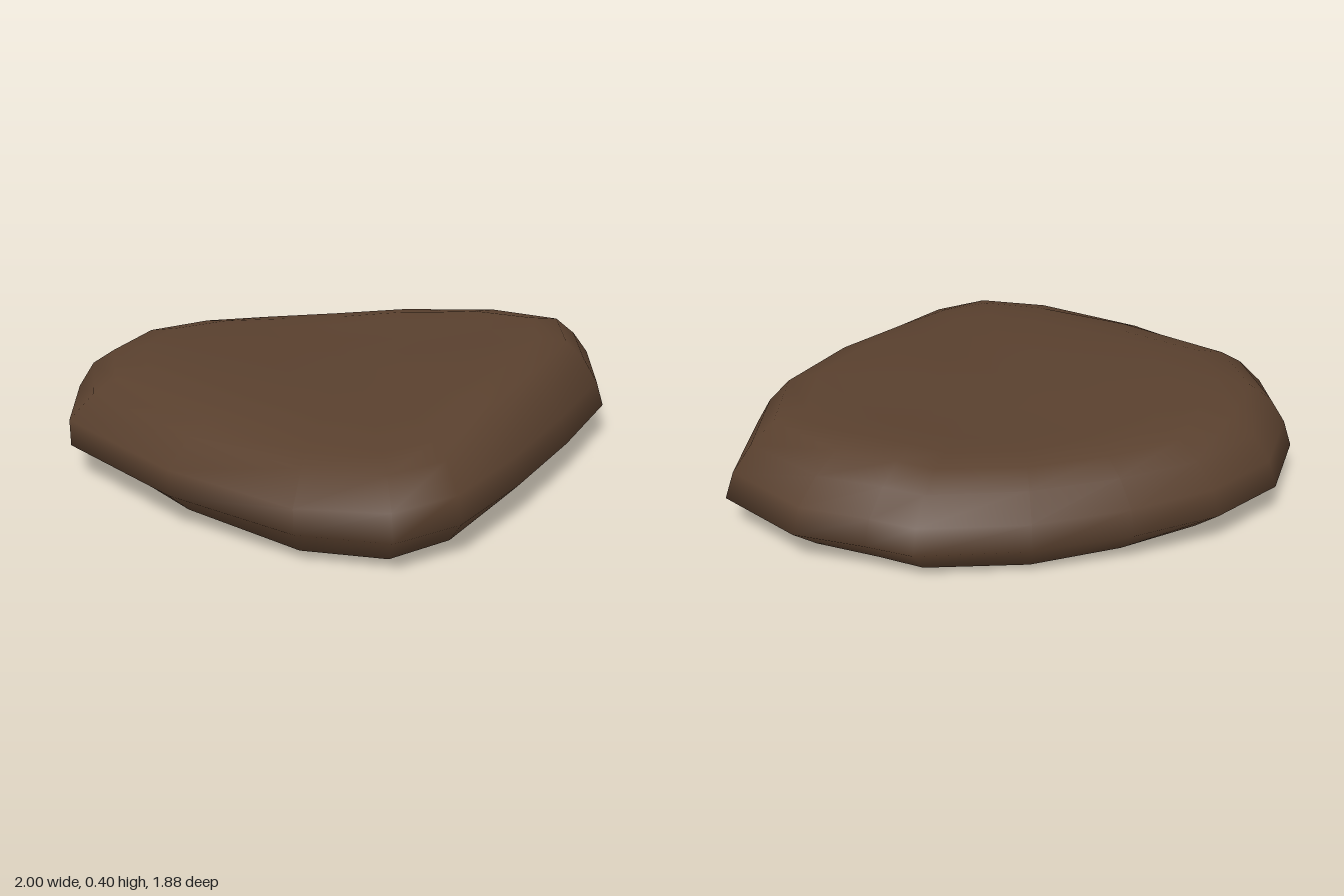
import * as THREE from 'three';

// Plan outline [x, z], running from the -x side round the back
const OUTLINE = [
  [-1, -0.45], [-0.8, -0.77], [-0.5, -0.94], [-0.19, -0.945], [0.12, -0.85], [0.44, -0.7],
  [0.75, -0.47], [0.83, -0.32], [0.965, -0.1], [1, 0.26], [0.72, 0.54], [0.31, 0.71],
  [-0.1, 0.85], [-0.46, 0.94], [-0.71, 0.9], [-0.89, 0.65], [-1, 0.15],
];

// Cross-section from underside to top:
// [scale of outline, height, warp in height, warp in scale]
const PROFILE = [
  [0.45, 0.024, 0.01, 0], [0.8, 0.022, 0.022, 0], [0.905, 0.045, 0.02, -0.01],
  [1, 0.12, 0, 0], [0.97, 0.21, 0.005, 0], [0.895, 0.295, 0.012, 0.02],
  [0.81, 0.344, 0.025, 0.03], [0.7, 0.362, 0.03, 0.03], [0.55, 0.36, 0.024, 0], [0.3, 0.35, 0.008, 0],
];
const CENTRE_X = -0.08;

function stoneGeometry() {
  const n = OUTLINE.length;
  const positions = [];
  const index = [];

  PROFILE.forEach(([scale, height, lift, spread], r) => {
    for (const [x, z] of OUTLINE) {
      const dx = x - CENTRE_X;
      // Saddle-like twist: high to the front +x and back -x corners
      const warp = Math.cos(2 * (Math.atan2(z, dx) - 0.72));
      let s = scale + spread * warp;
      let y = height + lift * warp;
      // Blunter wall on the -x side, crisper shoulder on the +x side
      if (r === 4 && dx < -0.8) s = 1;
      if (r === 6 || r === 7) y += 0.014 * dx;
      positions.push(CENTRE_X + dx * s, y, z * s);
    }
  });

  for (let r = 0; r < PROFILE.length - 1; r++) {
    for (let i = 0; i < n; i++) {
      const j = (i + 1) % n;
      const a = r * n + i, b = r * n + j, c = a + n, d = b + n;
      index.push(a, c, b, b, c, d);
    }
  }

  // Close the underside and the dished top
  const bottom = positions.length / 3;
  positions.push(CENTRE_X, 0.028, 0, CENTRE_X, 0.347, 0);
  const last = (PROFILE.length - 1) * n;
  for (let i = 0; i < n; i++) {
    const j = (i + 1) % n;
    index.push(bottom, i, j, bottom + 1, last + j, last + i);
  }

  const geometry = new THREE.BufferGeometry();
  geometry.setAttribute('position', new THREE.Float32BufferAttribute(positions, 3));
  geometry.setIndex(index);
  geometry.computeBoundingBox();
  geometry.translate(0, -geometry.boundingBox.min.y, 0);
  geometry.computeVertexNormals();
  return geometry;
}

export function createModel() {
  const group = new THREE.Group();
  group.name = 'flatStone';
  const stone = new THREE.Mesh(stoneGeometry(), new THREE.MeshStandardMaterial({ color: 0x59402e }));
  stone.name = 'stone';
  group.add(stone);
  return group;
}
